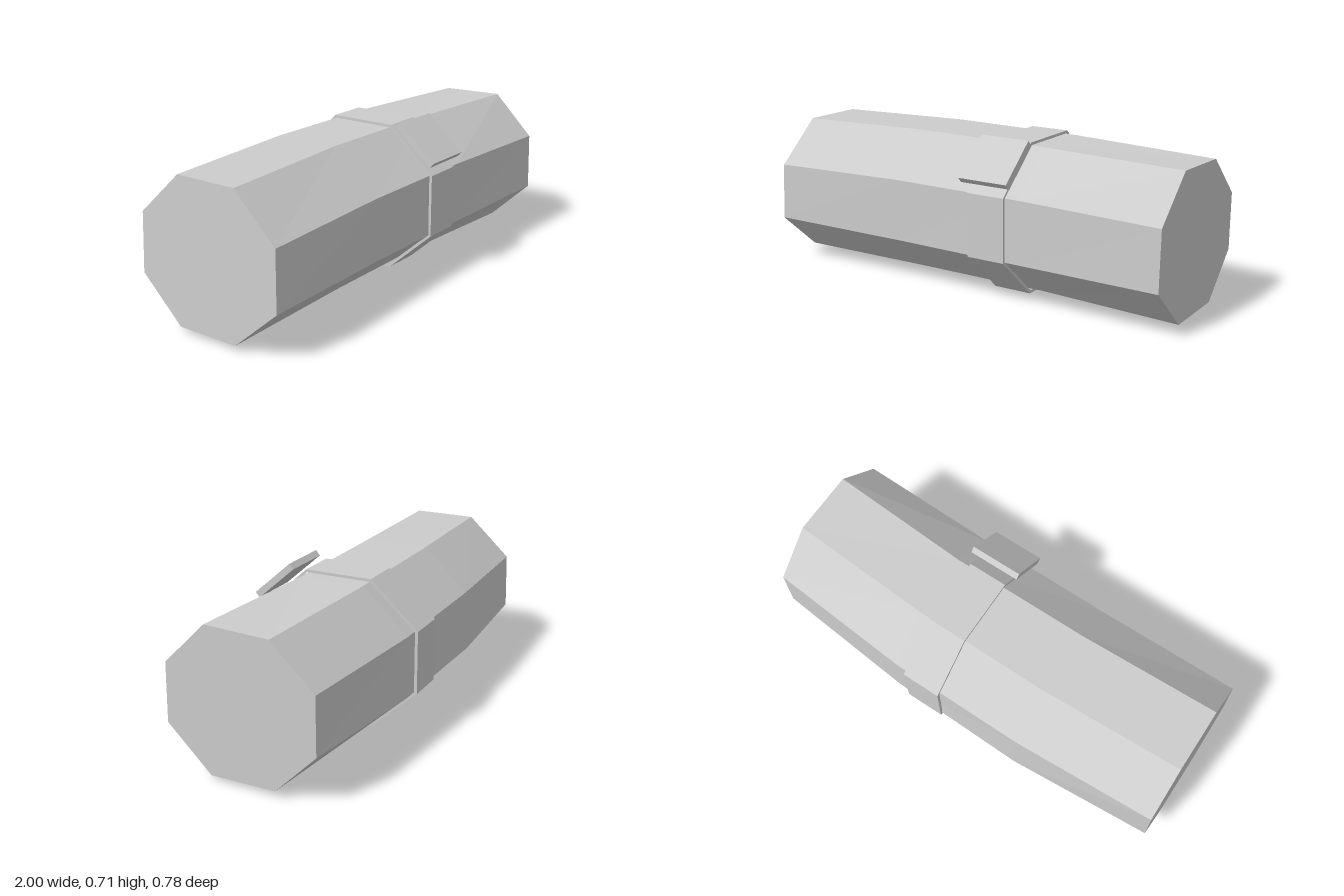
import * as THREE from 'three';

const grey = new THREE.MeshStandardMaterial({ color: 0xcccccc, flatShading: true });
grey.name = 'lightGrey';

// Octagonal cross-sections of the roll: x(y, z) gives the tilt, points are [z, y]
const sections = [
  { x: (y) => -1 + 0.038 * (y - 0.02),
    points: [[0.16, 0.665], [-0.135, 0.665], [-0.337, 0.475], [-0.34, 0.21], [-0.135, 0.025], [0.16, 0.025], [0.372, 0.21], [0.365, 0.472]] },
  { x: () => -0.32,
    points: [[0.135, 0.675], [-0.165, 0.675], [-0.373, 0.483], [-0.388, 0.207], [-0.165, 0.02], [0.135, 0.02], [0.352, 0.205], [0.352, 0.485]] },
  { x: () => 0.32,
    points: [[0.137, 0.67], [-0.16, 0.67], [-0.368, 0.477], [-0.374, 0.205], [-0.163, 0.021], [0.137, 0.021], [0.357, 0.203], [0.355, 0.484]] },
  { x: (y, z) => 0.993 - 0.022 * z,
    points: [[0.18, 0.664], [-0.115, 0.655], [-0.31, 0.47], [-0.31, 0.215], [-0.12, 0.025], [0.18, 0.02], [0.382, 0.21], [0.375, 0.474]] },
];

// Skin the cross-sections and close both ends
function loft(list) {
  const n = list[0].points.length;
  const rings = list.map((s) => s.points.map(([z, y]) => new THREE.Vector3(s.x(y, z), y, z)));
  const out = [];
  const tri = (...v) => v.forEach((p) => out.push(p.x, p.y, p.z));
  const centre = (ring) => ring.reduce((c, p) => c.add(p), new THREE.Vector3()).divideScalar(n);
  const first = rings[0], last = rings[rings.length - 1];
  const c0 = centre(first), c1 = centre(last);
  for (let j = 0; j < n; j++) {
    const k = (j + 1) % n;
    for (let i = 0; i + 1 < rings.length; i++) {
      const a = rings[i], b = rings[i + 1];
      tri(a[j], b[j], b[k]);
      tri(a[j], b[k], a[k]);
    }
    tri(c0, first[j], first[k]);
    tri(c1, last[k], last[j]);
  }
  const g = new THREE.BufferGeometry();
  g.setAttribute('position', new THREE.Float32BufferAttribute(out, 3));
  g.computeVertexNormals();
  return g;
}

// Extrude a [z, y] outline along x between two positions
function extrudeX(outline, hole, x0, x1) {
  const toPoints = (list) => list.map(([z, y]) => new THREE.Vector2(-z, y));
  const shape = new THREE.Shape(toPoints(outline));
  if (hole) shape.holes.push(new THREE.Path(toPoints(hole)));
  const g = new THREE.ExtrudeGeometry(shape, { depth: x1 - x0, bevelEnabled: false });
  g.rotateY(Math.PI / 2);
  g.translate(x0, 0, 0);
  return g;
}

export function createModel() {
  const model = new THREE.Group();
  model.name = 'bedroll';
  const add = (name, geometry) => {
    const mesh = new THREE.Mesh(geometry, grey);
    mesh.name = name;
    model.add(mesh);
  };

  add('roll', loft(sections));

  // Strap: thin octagonal band around the roll
  const band = [[0.145, 0.685], [-0.168, 0.685], [-0.39, 0.485], [-0.39, 0.2], [-0.168, 0], [0.145, 0], [0.367, 0.2], [0.367, 0.485]];
  const cz = -0.0115, cy = 0.3425;
  const inner = band.map(([z, y]) => [cz + (z - cz) * 0.964, cy + (y - cy) * 0.964]);
  add('strap', extrudeX(band, inner, 0.08, 0.262));

  // Buckle: slanted plate standing off the upper front of the strap
  add('buckle', extrudeX([[0.213, 0.708], [0.194, 0.685], [0.371, 0.53], [0.391, 0.552]], null, 0.052, 0.29));

  return model;
}
